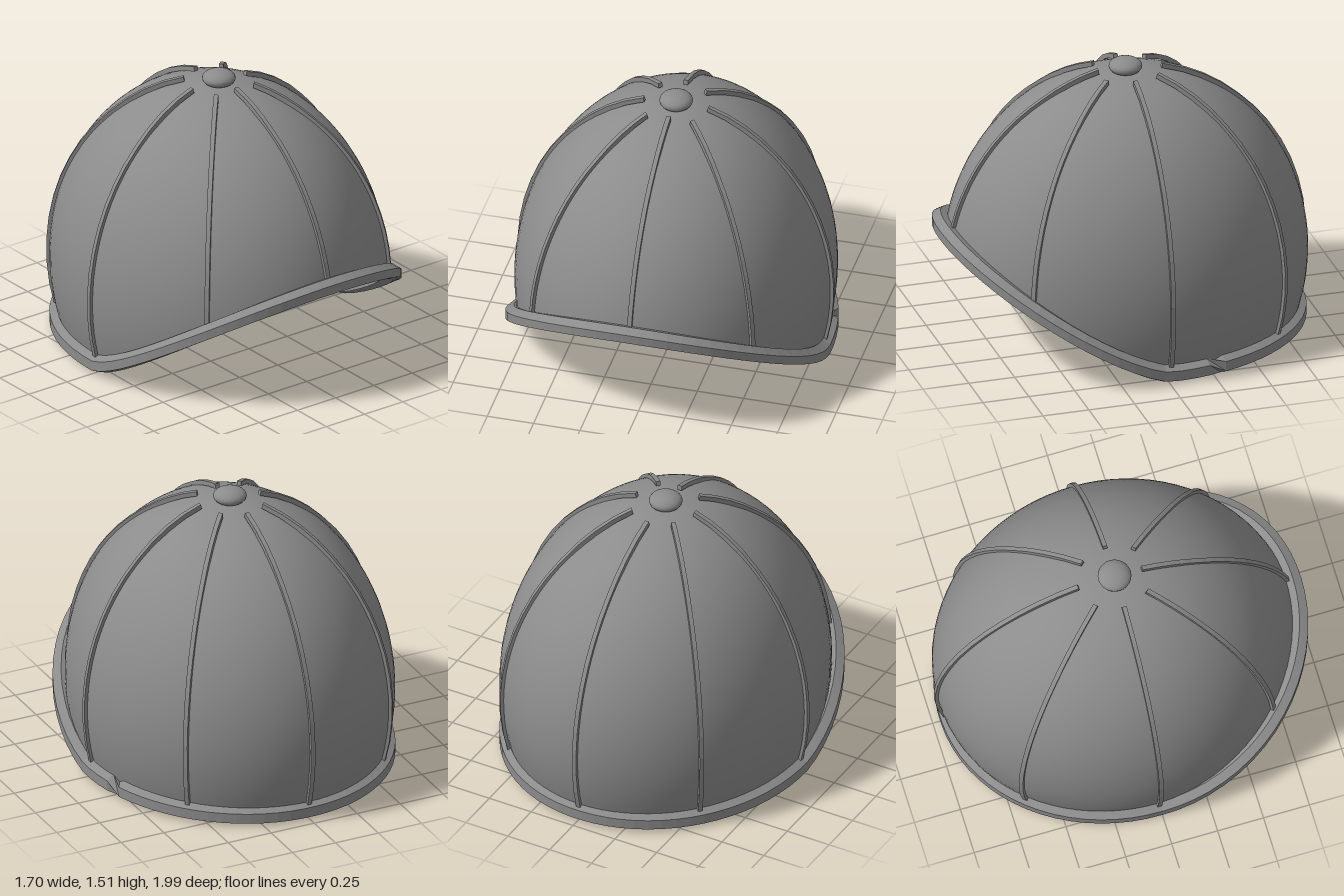
import * as THREE from 'three';

const grey = new THREE.MeshStandardMaterial({ color: 0x8c8c8c, side: THREE.DoubleSide });
grey.name = 'grey';

// Ellipsoids the dome and its lining are cut from
const C = new THREE.Vector3(0, 0.4, -0.01);
const OUTER = new THREE.Vector3(0.835, 1.04, 0.963), INNER = OUTER.clone().subScalar(0.042);

// Point on an ellipsoid: a = turn round the vertical (0 = front), p = angle down from the top
function domePoint(a, p, R = OUTER) {
  return new THREE.Vector3(Math.sin(p) * Math.sin(a), Math.cos(p), Math.sin(p) * Math.cos(a)).multiply(R).add(C);
}
function domeNormal(a, p) {
  return domePoint(a, p).sub(C).divide(OUTER).divide(OUTER).normalize();
}

// Height of the opening: level at the back, sweeping up towards the front
const edgeHeight = (z) => 0.05 + 0.64 * Math.pow(Math.max(0, z), 1.25);
function edgeAngle(a, R = OUTER, drop = 0) {
  let p = Math.PI / 2;
  for (let i = 0; i < 40; i++) {
    const target = Math.acos((edgeHeight(domePoint(a, p, R).z) - drop - C.y) / R.y);
    p += (target - p) * 0.6;
  }
  return p;
}

// Skin a list of rings; shift turns the joint where a closed path meets itself
function loft(rings, { closed = false, shift = 0, caps = false, flat = true } = {}) {
  const n = rings[0].length, index = [];
  const last = closed ? rings.length : rings.length - 1;
  for (let i = 0; i < last; i++) {
    const s = i === rings.length - 1 ? shift : 0, next = (i + 1) % rings.length;
    for (let j = 0; j < n; j++) {
      const k = (j + 1) % n;
      const a = i * n + j, b = i * n + k, c = next * n + (k + s) % n, d = next * n + (j + s) % n;
      index.push(a, d, b, b, d, c);
    }
  }
  if (caps) {
    const e = (rings.length - 1) * n;
    for (let j = 1; j < n - 1; j++) index.push(0, j, j + 1, e, e + j + 1, e + j);
  }
  let g = new THREE.BufferGeometry().setFromPoints(rings.flat());
  g.setIndex(index);
  if (flat) g = g.toNonIndexed();
  g.computeVertexNormals();
  return g;
}

// Smooth bowl cut along the opening
function bowl(R, drop) {
  const turns = 80, steps = 32, rows = [];
  const angles = Array.from({ length: turns }, (_, i) => (i / turns) * Math.PI * 2);
  const edges = angles.map((a) => edgeAngle(a, R, drop));
  for (let i = 0; i <= steps; i++) {
    rows.push(angles.map((a, j) => domePoint(a, Math.max(0.002, edges[j] * i / steps), R)));
  }
  return loft(rows, { flat: false });
}

function add(group, name, geometry) {
  const mesh = new THREE.Mesh(geometry, grey);
  mesh.name = name;
  group.add(mesh);
  return mesh;
}

export function createModel() {
  const group = new THREE.Group();
  group.name = 'cap';

  // Dome and its lining, open underneath
  add(group, 'dome', bowl(OUTER, 0));
  add(group, 'lining', bowl(INNER, 0.025));

  // Rim: six-sided trim round the opening, with a twisted joint on one side
  const section = [[-0.045, 0.025], [0, 0.05], [0.045, 0.025], [0.045, -0.03], [0, -0.05], [-0.045, -0.03]];
  const rimRings = [], rimSteps = 72, seam = 1.84, gap = 0.1;
  for (let i = 0; i <= rimSteps; i++) {
    const a = seam + gap / 2 + (i / rimSteps) * (Math.PI * 2 - gap);
    const p = domePoint(a, edgeAngle(a));
    const out = new THREE.Vector3(p.x, 0, p.z - C.z).normalize();
    const front = Math.max(0, Math.cos(a));
    const push = 0.03 * front + 0.008 * Math.abs(Math.sin(a));
    rimRings.push(section.map(([r, y]) => p.clone().addScaledVector(out, r + push).setY(p.y + y * (1 - 0.1 * front))));
  }
  add(group, 'rim', loft(rimRings, { closed: true, shift: 2 }));

  // Eight raised seams running from near the button to the rim
  for (let k = 0; k < 8; k++) {
    const a = k * Math.PI / 4, end = edgeAngle(a) - 0.03, start = k === 0 ? 0.15 : 0.2;
    const tangent = new THREE.Vector3(Math.cos(a) * OUTER.x, 0, -Math.sin(a) * OUTER.z).normalize();
    const rings = [];
    for (let i = 0; i <= 14; i++) {
      const p = start + (end - start) * i / 14;
      const lift = 0.02 * Math.max(0, 1 - i / 4);
      const point = domePoint(a, p), normal = domeNormal(a, p);
      rings.push([[-1, -0.008], [-1, 0.018], [1, 0.018], [1, -0.008]].map(([s, h]) =>
        point.clone().addScaledVector(tangent, s * 0.012).addScaledVector(normal, h + lift)));
    }
    add(group, 'seam' + (k + 1), loft(rings, { caps: true }));
  }

  // Button on the crown
  const button = add(group, 'button', new THREE.SphereGeometry(0.088, 24, 12));
  button.scale.y = 0.5;
  button.position.set(0, 1.466, C.z);

  return group;
}
